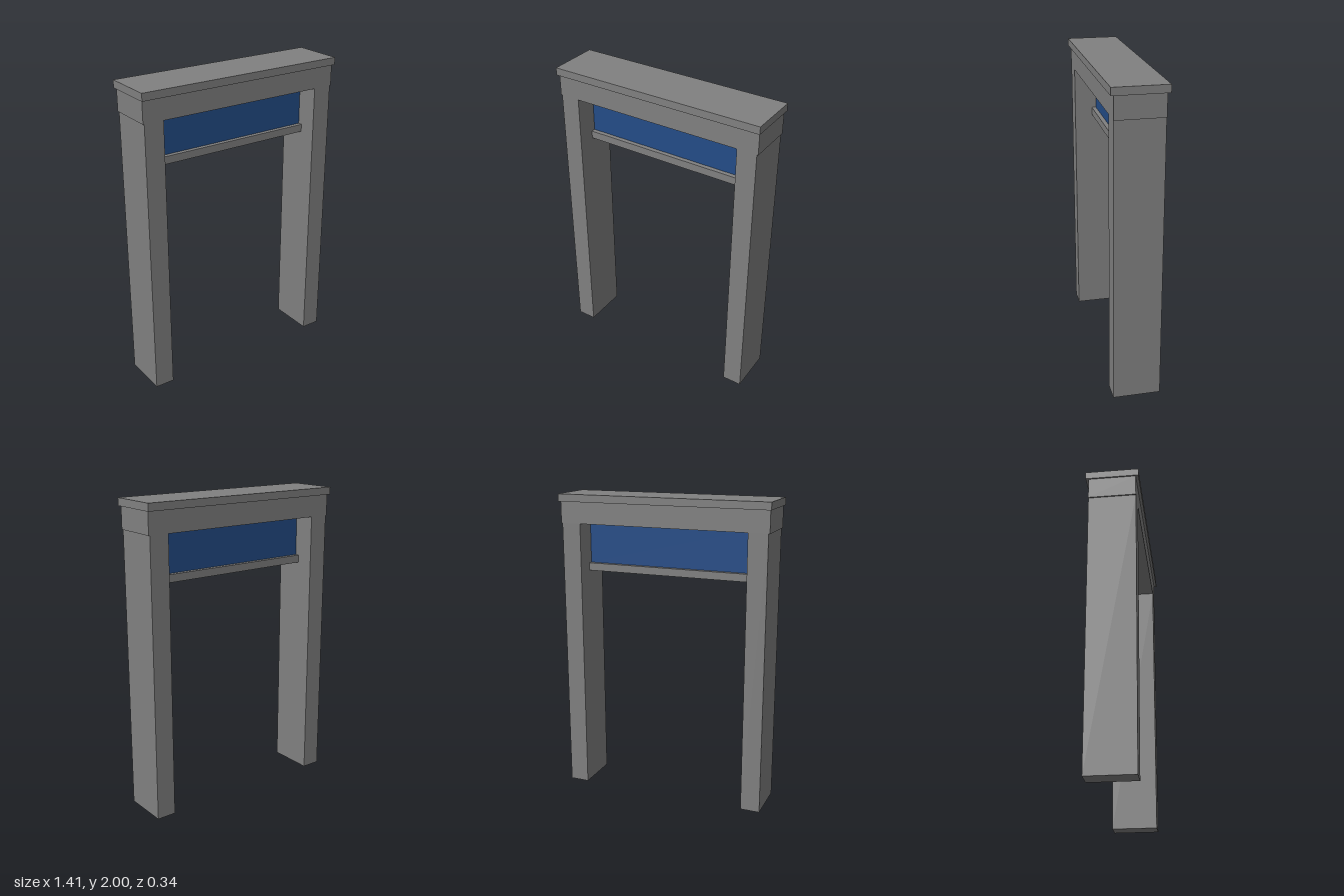
import * as THREE from 'three';

export function createModel() {
  const model = new THREE.Group();
  model.name = 'gateway';
  const stone = new THREE.MeshStandardMaterial({ color: 0x808080 });
  const blue = new THREE.MeshStandardMaterial({ color: 0x234c87 });

  // Box centred on z = 0, given its width, bottom, top and depth
  function addBox(name, x, width, bottom, top, depth, material = stone) {
    const mesh = new THREE.Mesh(new THREE.BoxGeometry(width, top - bottom, depth), material);
    mesh.name = name;
    mesh.position.set(x, (bottom + top) / 2, 0);
    model.add(mesh);
  }

  const postInner = 0.563, postOuter = 0.69;
  const beamBottom = 1.812, capBottom = 1.952;

  // Posts
  for (const side of [-1, 1]) {
    addBox(side > 0 ? 'leftPost' : 'rightPost', side * (postInner + postOuter) / 2,
      postOuter - postInner, 0, beamBottom, 0.302);
  }

  // Lintel, flush with the posts at front and back, and overhanging cap
  addBox('lintel', 0, 1.396, beamBottom, capBottom, 0.302);
  addBox('cap', 0, 1.414, capBottom, 2, 0.338);

  // Hanging panel with its bottom rail
  addBox('panel', 0, postInner * 2, 1.54, beamBottom, 0.01, blue);
  addBox('bottomRail', 0, postInner * 2, 1.49, 1.54, 0.068);

  return model;
}
